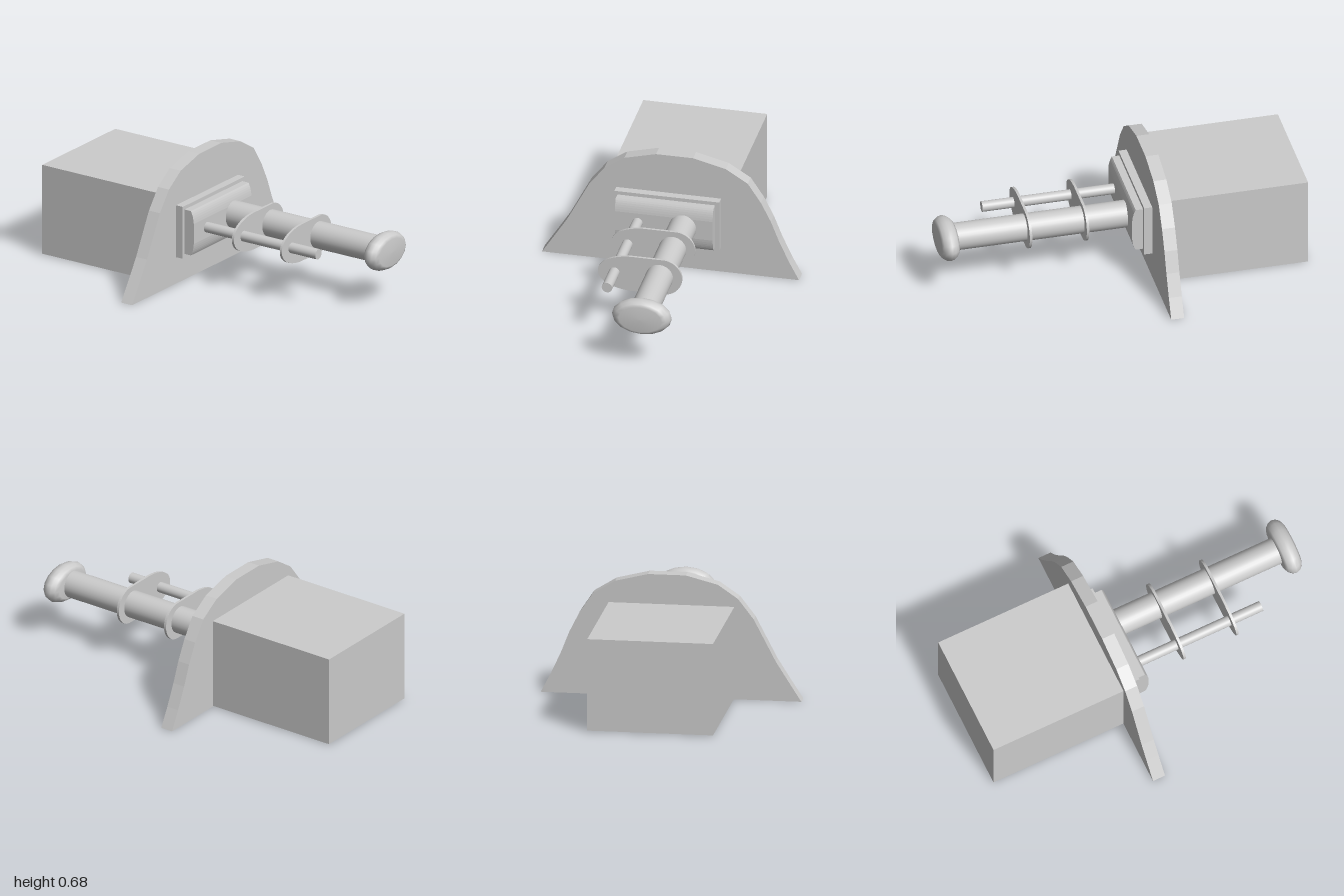
import * as THREE from 'three';

const Y = 0.305; // height of the rod axes

export function createModel() {
  const group = new THREE.Group();
  const mat = new THREE.MeshStandardMaterial({ color: 0xcccccc });

  const add = (name, geometry) => {
    const mesh = new THREE.Mesh(geometry, mat);
    mesh.name = name;
    group.add(mesh);
    return mesh;
  };
  const box = (name, x0, x1, y0, y1, z0, z1) =>
    add(name, new THREE.BoxGeometry(x1 - x0, y1 - y0, z1 - z0))
      .position.set((x0 + x1) / 2, (y0 + y1) / 2, (z0 + z1) / 2);
  const rod = (name, x, r, z0, z1) =>
    add(name, new THREE.CylinderGeometry(r, r, z1 - z0, 32).rotateX(Math.PI / 2))
      .position.set(x, Y, (z0 + z1) / 2);
  const slab = (name, shape, z0, z1) =>
    add(name, new THREE.ExtrudeGeometry(shape, { depth: z1 - z0, bevelEnabled: false, curveSegments: 16 }))
      .position.z = z0;

  // Rear housing
  box('housing', -0.345, 0.34, 0.005, 0.515, -1, -0.222);

  // Arched mounting plate
  const arch = [
    [0.71, 0], [0.655, 0.105], [0.6, 0.225], [0.555, 0.34], [0.5, 0.45], [0.427, 0.56],
    [0.305, 0.635], [0.125, 0.68], [-0.08, 0.68], [-0.255, 0.635], [-0.365, 0.56],
    [-0.45, 0.45], [-0.51, 0.335], [-0.57, 0.22], [-0.63, 0.125], [-0.71, 0],
  ];
  slab('archPlate', new THREE.Shape(arch.map(([x, y]) => new THREE.Vector2(x, y))), -0.222, -0.15);

  // Rectangular base frame
  box('baseFrame', -0.3, 0.28, 0.152, 0.45, -0.16, -0.105);

  // Bezel block with rounded top and bottom front edges, extruded along x
  const profile = new THREE.Shape();
  profile.moveTo(0.115, 0.175);
  profile.lineTo(0.115, 0.43);
  profile.lineTo(0.064, 0.43);
  profile.quadraticCurveTo(0.048, 0.405, 0.044, 0.36);
  profile.lineTo(0.044, 0.245);
  profile.quadraticCurveTo(0.048, 0.2, 0.064, 0.175);
  add('bezel', new THREE.ExtrudeGeometry(profile, { depth: 0.54, bevelEnabled: false, curveSegments: 6 })
    .rotateY(Math.PI / 2)).position.x = -0.283;

  // Main rod and thin guide rod
  rod('mainRod', 0.091, 0.075, -0.06, 0.92);
  rod('guideRod', -0.159, 0.029, -0.06, 0.69);

  // Two thin link plates joining the rods
  const link = new THREE.Shape();
  link.moveTo(-0.07, Y - 0.105);
  link.lineTo(0.11, Y - 0.105);
  link.absarc(0.11, Y, 0.105, -Math.PI / 2, Math.PI / 2, false);
  link.lineTo(-0.07, Y + 0.105);
  link.bezierCurveTo(-0.17, Y + 0.1, -0.25, Y + 0.06, -0.25, Y);
  link.bezierCurveTo(-0.25, Y - 0.06, -0.17, Y - 0.1, -0.07, Y - 0.105);
  for (const z of [0.19, 0.506]) slab('linkPlate', link, z - 0.007, z + 0.007);

  // Oval rounded knob on the end of the main rod
  const knob = [
    [0, 0], [0.72, 0], [0.86, 0.012], [0.96, 0.03], [1, 0.05],
    [0.96, 0.07], [0.86, 0.088], [0.72, 0.098], [0, 0.1],
  ].map(([r, z]) => new THREE.Vector2(r, z));
  add('knob', new THREE.LatheGeometry(knob, 16).rotateX(Math.PI / 2).scale(0.165, 0.105, 1))
    .position.set(0.094, Y, 0.9);

  return group;
}
